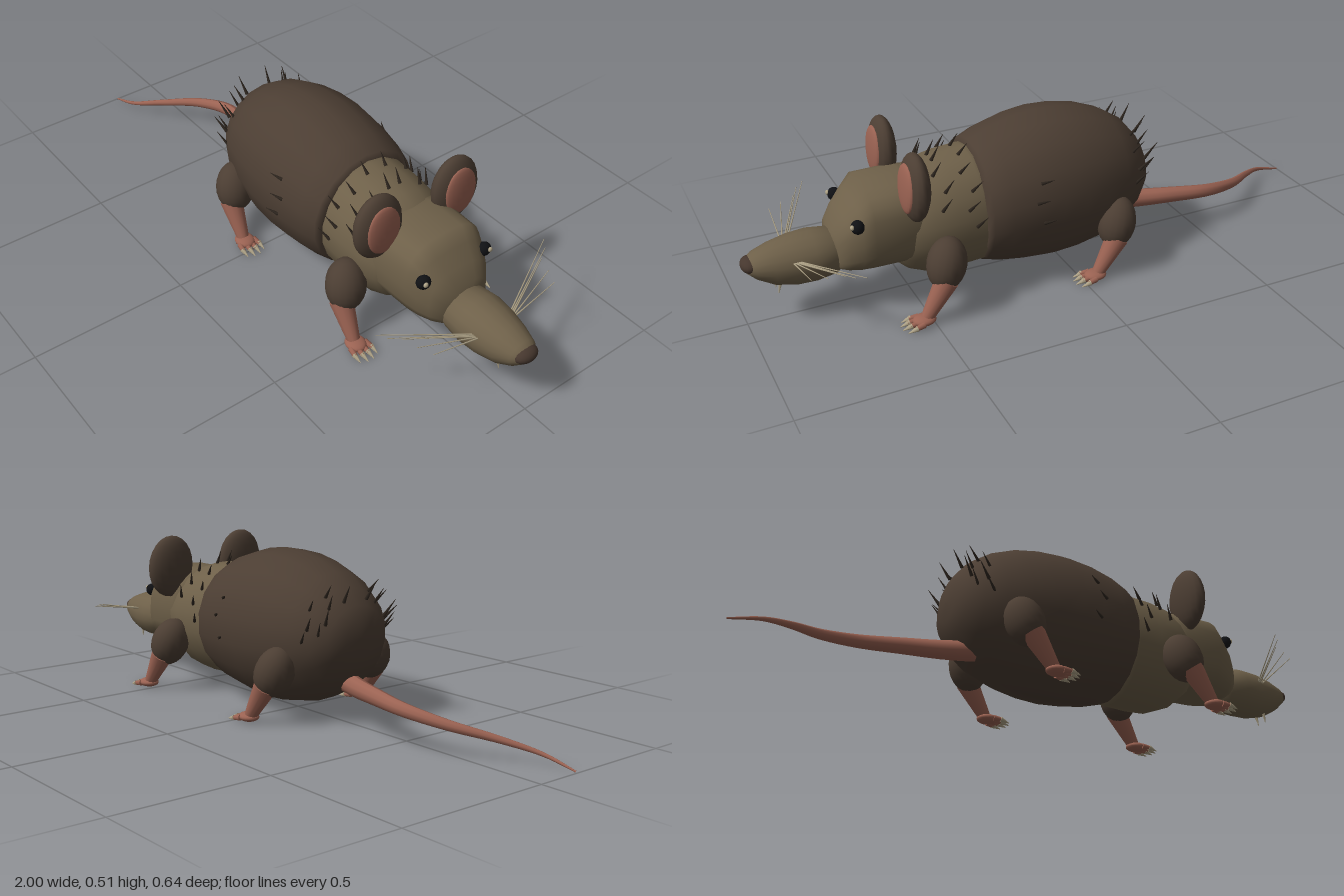
import * as THREE from 'three';

const mat = (name, color) => {
  const m = new THREE.MeshStandardMaterial({ color });
  m.name = name;
  return m;
};
const V = (x, y, z) => new THREE.Vector3(x, y, z);

// Closed skin along x from sections [x, top, bottom, halfWidth]; power > 2 squares the section
function loft(sections, sides = 18, power = 2) {
  const pos = [], index = [];
  const bend = (v) => Math.sign(v) * Math.abs(v) ** (2 / power);
  sections.forEach(([x, top, bottom, w], i) => {
    for (let j = 0; j < sides; j++) {
      const a = (j / sides) * Math.PI * 2;
      pos.push(x, (top + bottom) / 2 + ((top - bottom) / 2) * bend(Math.cos(a)), w * bend(Math.sin(a)));
      if (i === sections.length - 1) continue;
      const p = i * sides + j, q = i * sides + ((j + 1) % sides);
      index.push(p, q, p + sides, q, q + sides, p + sides);
    }
  });
  const g = new THREE.BufferGeometry();
  g.setAttribute('position', new THREE.Float32BufferAttribute(pos, 3));
  g.setIndex(index);
  g.computeVertexNormals();
  return g;
}

export function createModel() {
  const root = new THREE.Group();
  root.name = 'rodent';
  const fur = mat('dark brown fur', 0x4c3e33);
  const olive = mat('olive fur', 0x6e6049);
  const skin = mat('pink skin', 0x9a6252);
  const noseMat = mat('nose brown', 0x46372e);
  const black = mat('eye black', 0x101114);
  const pale = mat('pale horn', 0xb0a488);
  const hairMat = mat('dark hair', 0x2e261f);

  const add = (name, geometry, material, parent = root) => {
    const m = new THREE.Mesh(geometry, material);
    m.name = name;
    parent.add(m);
    return m;
  };
  const ball = (name, c, r, material, parent = root) => {
    const m = add(name, new THREE.SphereGeometry(1, 18, 12), material, parent);
    m.position.set(...c);
    m.scale.set(...r);
    return m;
  };
  // Tapered rod from point a to point b
  const rod = (name, a, b, ra, rb, material, parent = root, sides = 10) => {
    const m = add(name, new THREE.CylinderGeometry(rb, ra, a.distanceTo(b), sides), material, parent);
    m.position.copy(a).lerp(b, 0.5);
    m.quaternion.setFromUnitVectors(V(0, 1, 0), b.clone().sub(a).normalize());
    return m;
  };

  // Trunk
  add('body', loft([
    [-0.302, 0.28, 0.28, 0], [-0.3, 0.335, 0.215, 0.06], [-0.28, 0.375, 0.165, 0.115],
    [-0.24, 0.425, 0.115, 0.155], [-0.18, 0.465, 0.075, 0.187], [-0.1, 0.496, 0.044, 0.208],
    [-0.02, 0.511, 0.029, 0.219], [0.06, 0.515, 0.024, 0.222], [0.14, 0.505, 0.031, 0.218],
    [0.22, 0.483, 0.044, 0.207], [0.28, 0.455, 0.062, 0.192], [0.295, 0.43, 0.08, 0.175], [0.3, 0.25, 0.25, 0],
  ]), fur);
  add('chest', loft([
    [0.2, 0.25, 0.25, 0], [0.22, 0.44, 0.065, 0.168], [0.3, 0.44, 0.06, 0.174], [0.38, 0.434, 0.056, 0.175],
    [0.45, 0.42, 0.06, 0.168], [0.51, 0.392, 0.085, 0.15], [0.56, 0.345, 0.13, 0.115], [0.585, 0.24, 0.24, 0],
  ]), olive);

  // Head, snout and nose
  add('head', loft([
    [0.4, 0.27, 0.27, 0], [0.42, 0.39, 0.145, 0.13], [0.5, 0.4, 0.135, 0.148], [0.63, 0.4, 0.135, 0.143],
    [0.665, 0.362, 0.135, 0.13], [0.7, 0.322, 0.138, 0.11], [0.73, 0.28, 0.145, 0.082], [0.745, 0.22, 0.2, 0],
  ], 20, 2.8), olive);
  add('snout', loft([
    [0.69, 0.19, 0.19, 0], [0.7, 0.235, 0.145, 0.055], [0.73, 0.262, 0.122, 0.08], [0.79, 0.271, 0.112, 0.086],
    [0.85, 0.268, 0.112, 0.08], [0.91, 0.256, 0.126, 0.067], [0.96, 0.238, 0.156, 0.05], [0.985, 0.22, 0.18, 0.03],
    [0.99, 0.2, 0.2, 0],
  ]), olive);
  ball('nose', [0.972, 0.204, 0], [0.028, 0.024, 0.04], noseMat);

  // Tail: tube narrowed toward its tip
  const path = new THREE.CatmullRomCurve3([
    V(-0.2, 0.13, 0.02), V(-0.3, 0.126, -0.012), V(-0.42, 0.127, -0.046), V(-0.55, 0.12, -0.062),
    V(-0.68, 0.097, -0.02), V(-0.8, 0.066, 0.065), V(-0.9, 0.035, 0.13), V(-0.997, 0.008, 0.146),
  ]);
  const rows = 40, around = 10;
  const tail = new THREE.TubeGeometry(path, rows, 0.034, around);
  const tp = tail.attributes.position, p = V(0, 0, 0);
  for (let i = 0; i < tp.count; i++) {
    const t = Math.floor(i / (around + 1)) / rows;
    p.fromBufferAttribute(tp, i).sub(path.getPointAt(t)).multiplyScalar(1 - 0.92 * t).add(path.getPointAt(t));
    tp.setXYZ(i, p.x, p.y, p.z);
  }
  tail.computeVertexNormals();
  add('tail', tail, skin);

  for (const s of [1, -1]) {
    const side = s > 0 ? 'left' : 'right';

    // Ears
    const ear = new THREE.Group();
    ear.name = side + 'Ear';
    ear.position.set(0.508, 0.415, 0.144 * s);
    ear.rotation.z = 0.06;
    root.add(ear);
    ball('earShell', [0, 0, 0], [0.039, 0.105, 0.085], fur, ear);
    ball('innerEar', [0.027, 0, 0], [0.014, 0.077, 0.059], skin, ear);

    // Eyes with a small glint
    ball(side + 'Eye', [0.676, 0.31, 0.114 * s], [0.02, 0.021, 0.023], black);
    ball(side + 'EyeGlint', [0.694, 0.316, 0.121 * s], [0.006, 0.008, 0.008], pale);

    // Front teeth
    rod(side + 'Tooth', V(0.895, 0.13, 0.02 * s), V(0.902, 0.096, 0.018 * s), 0.006, 0.001, pale, root, 6);

    // Whiskers fanning out and back
    [[0.72, 0.32, 0.267], [0.745, 0.3, 0.262], [0.765, 0.265, 0.254], [0.81, 0.25, 0.25], [0.852, 0.23, 0.245]]
      .forEach(([x, z, y], i) =>
        rod(side + 'Whisker', V(0.84 + i * 0.005, 0.215, 0.073 * s), V(x, y, z * s), 0.0025, 0.001, pale, root, 5));

    // Front and hind legs share one design
    for (const [name, x] of [['FrontLeg', 0.44], ['HindLeg', -0.13]]) {
      const leg = new THREE.Group();
      leg.name = side + name;
      leg.position.x = x;
      root.add(leg);
      const thigh = ball('upperLeg', [0, 0.172, 0.196 * s], [0.06, 0.082, 0.064], fur, leg);
      thigh.rotation.set(-0.25 * s, 0, 0.3);
      rod('lowerLeg', V(0.012, 0.13, 0.222 * s), V(0.08, 0.026, 0.228 * s), 0.037, 0.02, skin, leg, 12);
      ball('foot', [0.09, 0.02, 0.228 * s], [0.036, 0.015, 0.031], skin, leg);
      for (let i = 0; i < 4; i++) {
        const k = i - 1.5, z = (0.227 + k * 0.017) * s, tip = (0.227 + k * 0.021) * s;
        const reach = Math.abs(k) < 1 ? 0.138 : 0.128;
        rod('toe', V(0.1, 0.018, z), V(reach, 0.014, tip), 0.01, 0.007, skin, leg, 8);
        rod('claw', V(reach - 0.006, 0.015, tip), V(reach + 0.024, 0.007, tip), 0.009, 0.001, pale, leg, 6);
      }
    }
  }

  // Bristles in arcs over the back: [x, centre height, height, half width, angles, lean]
  const arcs = [
    [-0.27, 0.27, 0.125, 0.13, [0.35, 0.75, 1.1, 1.45], V(-0.035, 0.055, 0)],
    [-0.23, 0.27, 0.15, 0.16, [0.55, 0.95, 1.3, 1.6], V(-0.04, 0.045, 0)],
    [0.33, 0.25, 0.185, 0.172, [0.2, 0.6, 0.95, 1.25, 1.55], V(-0.03, 0.035, 0)],
    [0.41, 0.25, 0.175, 0.17, [0.12, 0.5, 0.85, 1.15], V(-0.025, 0.045, 0)],
    [0.13, 0.268, 0.235, 0.216, [1.15, 1.4, 1.7], V(-0.035, 0.012, 0)],
  ];
  const bristles = new THREE.Group();
  bristles.name = 'bristles';
  root.add(bristles);
  for (const [x, cy, h, w, angles, lean] of arcs) {
    for (const s of [1, -1]) {
      angles.forEach((a, i) => {
        const base = V(x + (i % 2) * 0.02, cy + h * Math.cos(a), w * Math.sin(a) * s);
        const tip = base.clone().add(lean).add(V(0, 0, 0.02 * Math.sin(a) * s));
        rod('bristle', base, tip, 0.006, 0.0005, hairMat, bristles, 5);
      });
    }
  }
  return root;
}
